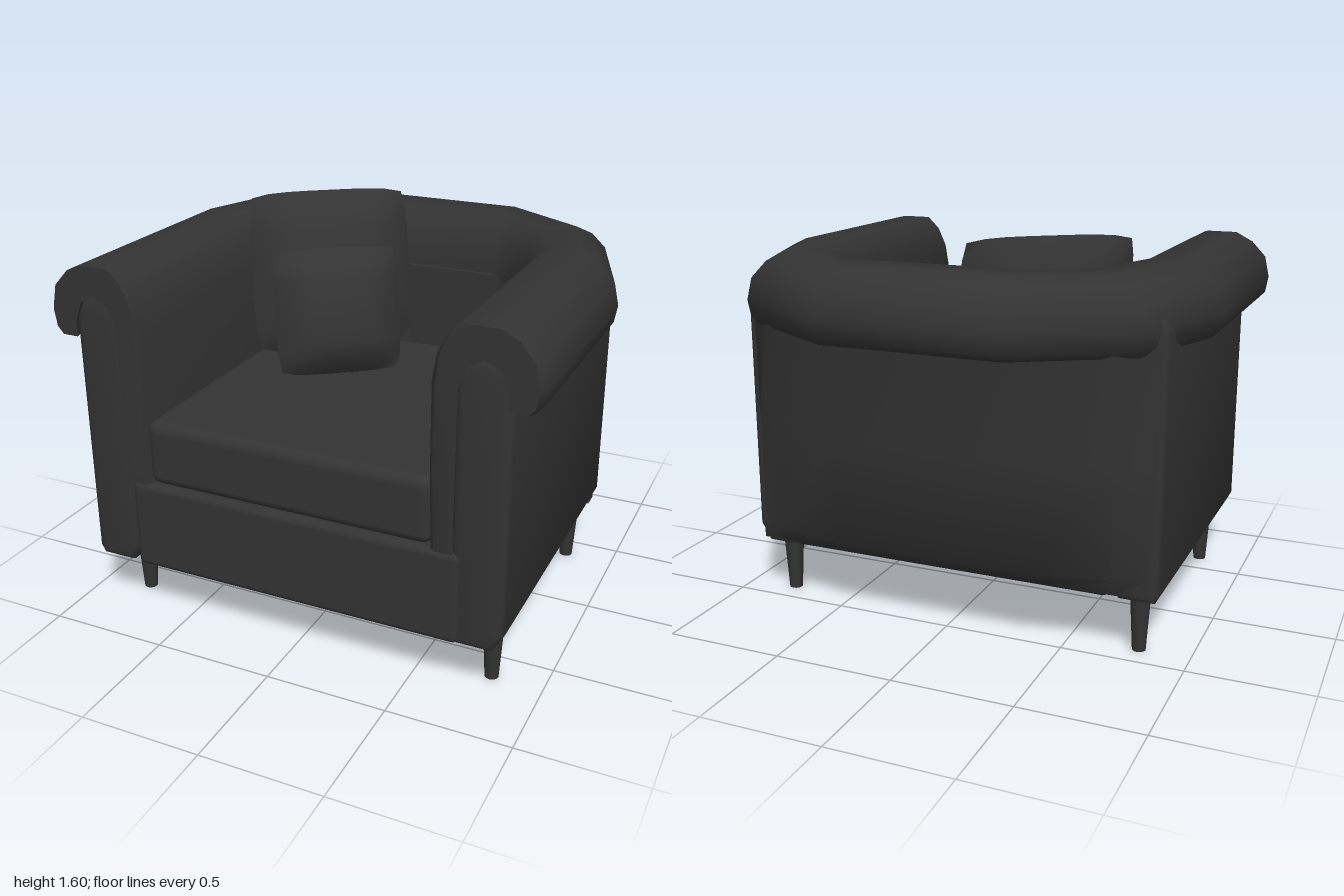
import * as THREE from 'three';
import { mergeGeometries, toCreasedNormals } from 'three/addons/utils/BufferGeometryUtils.js';
import { RoundedBoxGeometry } from 'three/addons/geometries/RoundedBoxGeometry.js';

// Skin a list of equal-length closed rings; flat is the ring outline in 2D, used for the end caps
function loft(rings, flat) {
  const n = flat.length, last = (rings.length - 1) * n, index = [];
  for (let i = 0; i < rings.length - 1; i++) {
    for (let j = 0; j < n; j++) {
      const a = i * n + j, b = i * n + (j + 1) % n;
      index.push(a, b, b + n, a, b + n, a + n);
    }
  }
  const outline = flat.map(([x, y]) => new THREE.Vector2(x, y));
  const clockwise = THREE.ShapeUtils.isClockWise(outline);
  for (let [a, b, c] of THREE.ShapeUtils.triangulateShape(outline.slice(), [])) {
    if (THREE.ShapeUtils.isClockWise([outline[a], outline[b], outline[c]]) !== clockwise) [b, c] = [c, b];
    index.push(a, c, b, last + a, last + b, last + c);
  }
  const g = new THREE.BufferGeometry();
  g.setAttribute('position', new THREE.Float32BufferAttribute(rings.flat(2), 3));
  g.setIndex(index);
  return toCreasedNormals(g, 0.9);
}

// Inner lining and rolled top, swept around the sides and back
function rollGeometry() {
  const profile = [
    [0.02, 0.63], [0, 0.95], [0, 1.28], [0.04, 1.38], [0.13, 1.46], [0.27, 1.51], [0.62, 1.51],
    [0.8, 1.475], [0.95, 1.41], [1, 1.32], [0.97, 1.25], [0.9, 1.22], [0.72, 1.22],
    [0.72, 1.28], [0.64, 1.36], [0.48, 1.39], [0.32, 1.36], [0.23, 1.28], [0.22, 0.63],
  ];
  // Plan stations: inner x, z, outer x, z
  const half = [
    [0.61, 0.845, 0.98, 0.845], [0.59, 0.82, 1, 0.82], [0.59, -0.1, 1, -0.1],
    [0.51, -0.33, 0.835, -0.58], [0.37, -0.44, 0.37, -0.85],
  ];
  const stations = [...half, ...half.slice().reverse().map(([a, b, c, d]) => [-a, b, -c, d])];
  return loft(stations.map(([ix, iz, ox, oz]) =>
    profile.map(([u, y]) => [ix + (ox - ix) * u, y, iz + (oz - iz) * u])), profile);
}

// Outer back, bulging backwards and leaning out towards the top
function backGeometry() {
  const half = [[0.87, -0.08], [0.87, 0], [0.72, 0.55], [0.42, 1]];
  const plan = [...half, ...half.slice().reverse().map(([x, k]) => [-x, k])];
  const levels = [[0.26, 0.01], [0.345, 0.12], [0.8, 0.175], [1.27, 0.235]];
  return loft(levels.map(([y, bulge]) =>
    plan.map(([x, k]) => [x, y, k < 0 ? -0.42 : -0.49 - bulge * k])), plan.map(([x, k]) => [x, -k]));
}

// Outer arm panel with an arched top
function armGeometry() {
  const b = 0.025;
  const s = new THREE.Shape();
  s.moveTo(0.715, 0.27).lineTo(0.83, 0.27).lineTo(0.89 - b, 0.33).lineTo(0.89 - b, 1.285);
  s.absarc(0.785, 1.285, 0.08, 0, Math.PI, false);
  s.lineTo(0.68 + b, 0.29);
  const g = new THREE.ExtrudeGeometry(s, {
    depth: 1.28, bevelSize: b, bevelThickness: b, bevelSegments: 2, curveSegments: 5,
  });
  g.translate(0, 0, -0.475);
  return toCreasedNormals(g, 0.8);
}

// Square pillow swelling towards the middle, with pinched corners
function pillowGeometry(size, thick) {
  const face = new THREE.PlaneGeometry(2, 2, 8, 8);
  const p = face.attributes.position;
  for (let i = 0; i < p.count; i++) {
    const u = p.getX(i), v = p.getY(i);
    const k = (1 - 0.06 * Math.pow(Math.abs(u * v), 4)) * size / 2;
    p.setXYZ(i, u * k, v * k, thick * Math.pow((1 - u * u) * (1 - v * v), 0.42));
  }
  face.computeVertexNormals();
  return mergeGeometries([face, face.clone().rotateY(Math.PI)]);
}

export function createModel() {
  const model = new THREE.Group();
  model.name = 'armchair';
  const fabric = new THREE.MeshStandardMaterial({ color: 0x333333 });
  fabric.name = 'charcoal';

  const add = (name, geometry, x = 0, y = 0, z = 0) => {
    const mesh = new THREE.Mesh(geometry, fabric);
    mesh.name = name;
    mesh.position.set(x, y, z);
    model.add(mesh);
    return mesh;
  };

  add('rolledTop', rollGeometry());
  add('outerBack', backGeometry());

  // Arms
  const arm = armGeometry();
  add('leftArm', arm);
  add('rightArm', arm.clone().translate(-1.57, 0, 0));

  // Seat
  add('seatBase', new RoundedBoxGeometry(1.41, 0.385, 1.34, 3, 0.03), 0.015, 0.4375, 0.17);
  add('seatCushion', new RoundedBoxGeometry(1.21, 0.275, 1.3, 3, 0.045), -0.005, 0.765, 0.18);

  // Tapered legs
  const leg = new THREE.CylinderGeometry(0.045, 0.028, 0.28, 12);
  for (const [side, x] of [['Left', 0.79], ['Right', -0.79]]) {
    add('front' + side + 'Leg', leg, x, 0.14, 0.63);
    add('back' + side + 'Leg', leg, x, 0.14, -0.39);
  }

  // Pillows leaning into the right corner
  for (const [name, size, thick, x, y, z] of [
    ['largePillow', 0.7, 0.14, -0.305, 1.265, -0.21],
    ['smallPillow', 0.53, 0.12, -0.155, 1.175, 0.035],
  ]) {
    const pillow = add(name, pillowGeometry(size, thick), x, y, z);
    pillow.rotation.set(-0.26, 0.63, 0, 'YXZ');
  }
  return model;
}
